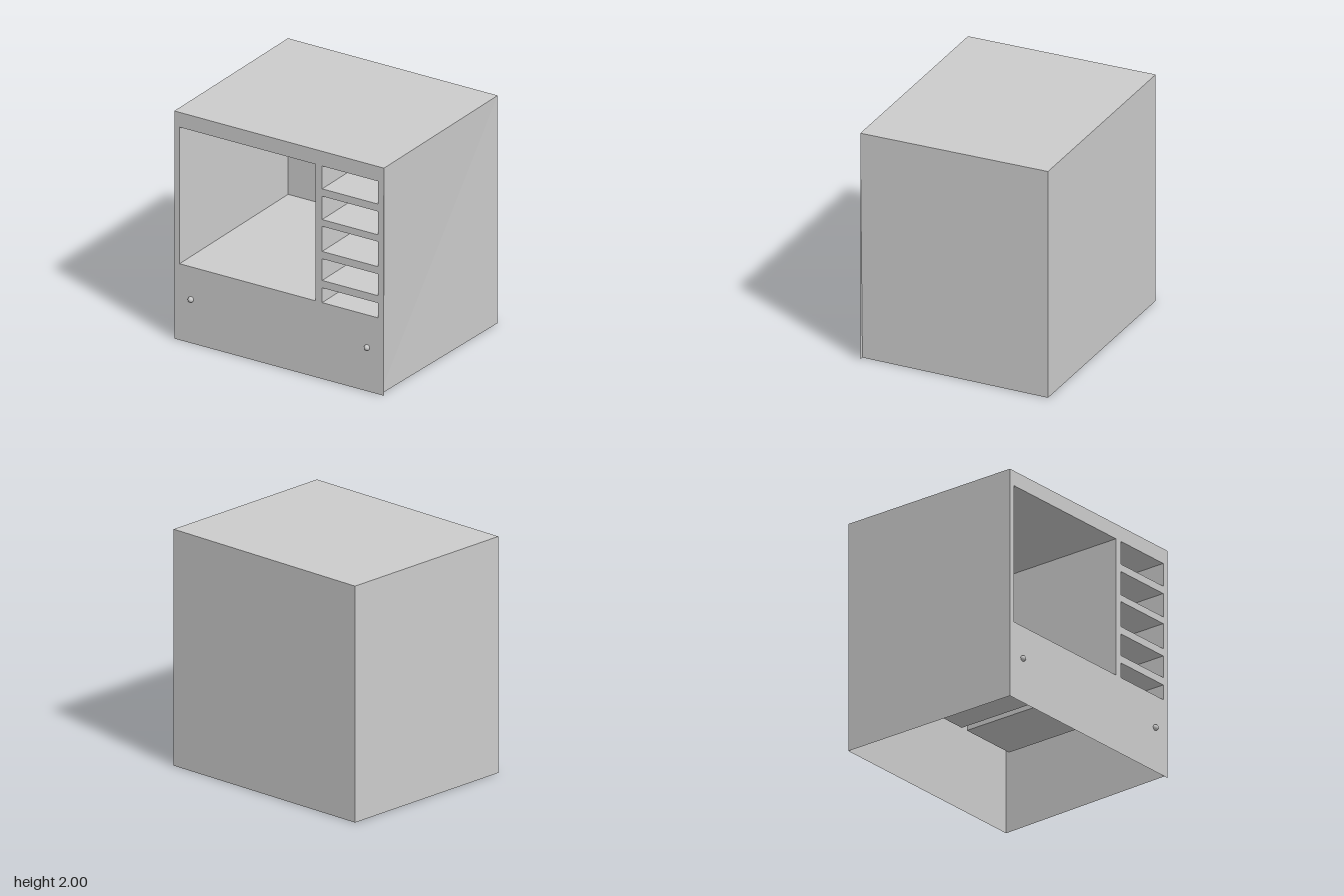
import * as THREE from 'three';
import { mergeGeometries } from 'three/addons/utils/BufferGeometryUtils.js';

const FRONT = 0.815, BACK = -0.845, INNER = -0.77;

const sheet = new THREE.MeshStandardMaterial({ color: 0xcccccc, side: THREE.DoubleSide, flatShading: true });
const smooth = new THREE.MeshStandardMaterial({ color: 0xcccccc });

// openings in the front panel: [x0, x1, y0, y1]
const CHAMBER = [-0.95, 0.345, 0.67, 1.87];
const SLOTS = [[1.67, 1.87], [1.4, 1.605], [1.12, 1.34], [0.865, 1.055], [0.67, 0.8]]
  .map(([y0, y1]) => [0.41, 0.945, y0, y1]);

// flat four-cornered sheet, corners counter-clockwise from its front
function quad(a, b, c, d) {
  const g = new THREE.BufferGeometry();
  g.setAttribute('position', new THREE.Float32BufferAttribute([...a, ...b, ...c, ...d], 3));
  g.setIndex([0, 1, 2, 0, 2, 3]);
  g.computeVertexNormals();
  return g;
}

function add(group, name, geometry, material = sheet) {
  const mesh = new THREE.Mesh(geometry, material);
  mesh.name = name;
  group.add(mesh);
  return mesh;
}

// recess open towards the front: back, floor, ceiling and two sides, facing inwards
function recess([l, r, b, t]) {
  const f = FRONT, k = INNER;
  return mergeGeometries([
    quad([l, b, k], [r, b, k], [r, t, k], [l, t, k]),
    quad([l, b, f], [r, b, f], [r, b, k], [l, b, k]),
    quad([l, t, k], [r, t, k], [r, t, f], [l, t, f]),
    quad([l, b, f], [l, b, k], [l, t, k], [l, t, f]),
    quad([r, b, k], [r, b, f], [r, t, f], [r, t, k]),
  ]);
}

function rectangle(path, [l, r, b, t]) {
  path.moveTo(l, b).lineTo(r, b).lineTo(r, t).lineTo(l, t).closePath();
  return path;
}

export function createModel() {
  const model = new THREE.Group();
  model.name = 'cabinet';

  // front panel with its openings
  const panel = rectangle(new THREE.Shape(), [-1, 1, 0, 2]);
  for (const hole of [CHAMBER, ...SLOTS]) panel.holes.push(rectangle(new THREE.Path(), hole));
  add(model, 'frontPanel', new THREE.ShapeGeometry(panel)).position.z = FRONT;

  // thin outer shell, open underneath; the left side leans in at its lower front corner
  add(model, 'topPanel', quad([-1, 2, FRONT], [1, 2, FRONT], [1, 2, BACK], [-1, 2, BACK]));
  add(model, 'backPanel', quad([1, 0, BACK], [-1, 0, BACK], [-1, 2, BACK], [1, 2, BACK]));
  add(model, 'rightPanel', quad([-1, 0, BACK], [-1, 0, FRONT], [-1, 2, FRONT], [-1, 2, BACK]));
  add(model, 'leftPanel', quad([0.96, 0, FRONT], [1, 0, BACK], [1, 2, BACK], [1, 2, FRONT]));

  // large compartment and the column of shelf slots
  add(model, 'compartment', recess(CHAMBER));
  SLOTS.forEach((slot, i) => add(model, `shelfSlot${i + 1}`, recess(slot)));

  // two small knobs
  for (const side of [-1, 1]) {
    const knob = add(model, side < 0 ? 'rightKnob' : 'leftKnob',
      new THREE.SphereGeometry(0.025, 12, 8), smooth);
    knob.position.set(side * 0.84, 0.385, FRONT + 0.005);
  }
  return model;
}
